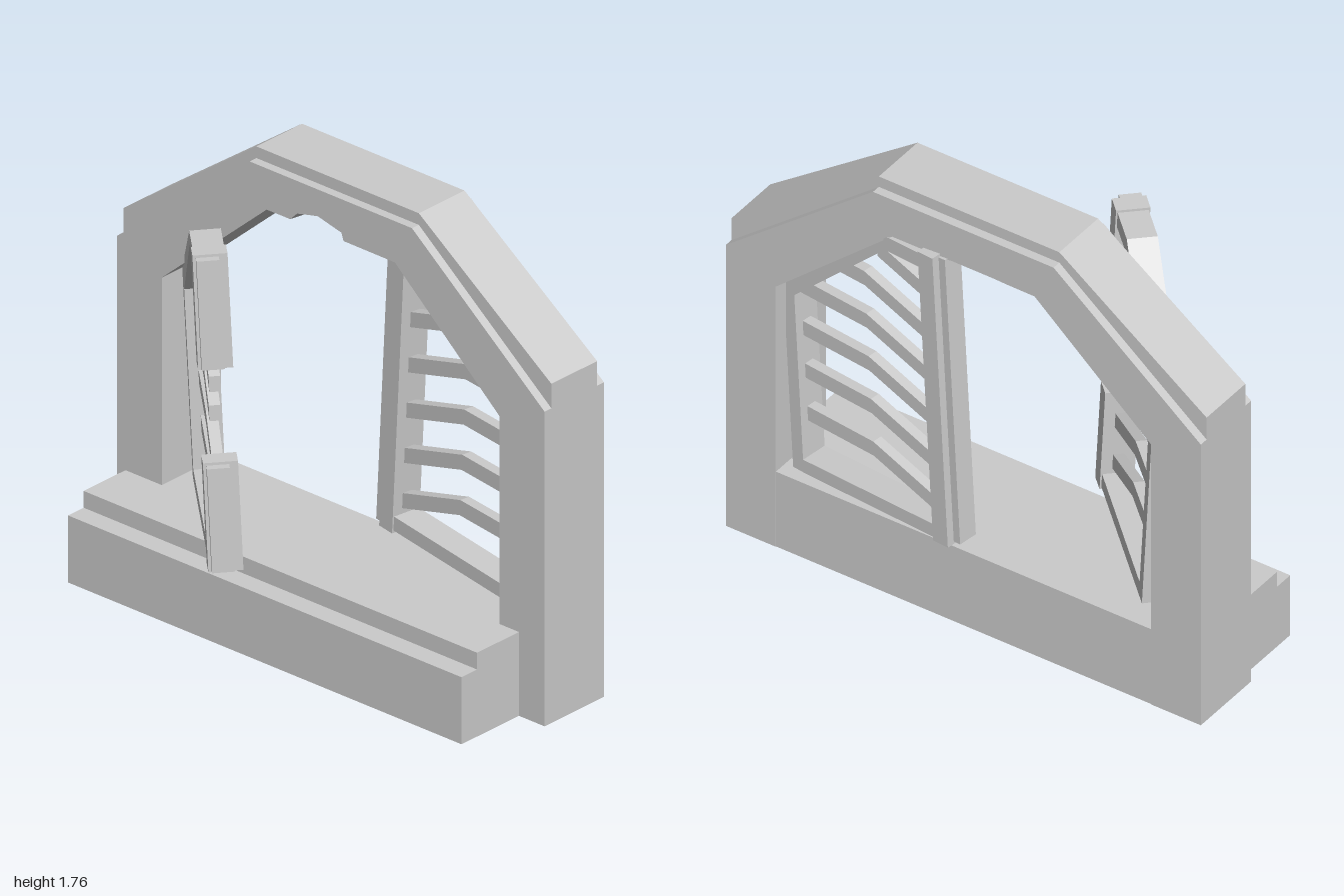
import * as THREE from 'three';

const material = new THREE.MeshStandardMaterial({ color: 0xcccccc, flatShading: true });
const shellMaterial = new THREE.MeshStandardMaterial({ color: 0xcccccc, flatShading: true, side: THREE.DoubleSide });

function mesh(name, geometry, mat = material) {
  const m = new THREE.Mesh(geometry, mat);
  m.name = name;
  return m;
}

// Flat outline [x, y] pushed from z0 to z1
function slab(points, z0, z1) {
  const shape = new THREE.Shape(points.map(p => new THREE.Vector2(p[0], p[1])));
  const g = new THREE.ExtrudeGeometry(shape, { depth: z1 - z0, bevelEnabled: false });
  return g.translate(0, 0, z0);
}

// Arched stone surround, open at the bottom, with a chip in its front top edge
function makeArch() {
  const g = slab([
    [-1, 0], [-1, 1.22], [-0.38, 1.72], [0.38, 1.72], [1, 1.22], [1, 0],
    [0.79, 0], [0.79, 1.13], [0.3, 1.56],
    [0.06, 1.561], [0.05, 1.563], [-0.12, 1.563], [-0.19, 1.561],
    [-0.3, 1.56], [-0.79, 1.13], [-0.79, 0]
  ], -0.34, -0.035);
  const p = g.attributes.position;
  for (let i = 0; i < p.count; i++) {
    if (p.getZ(i) < -0.1 || Math.abs(p.getY(i) - 1.563) > 0.0005) continue;
    p.setY(i, p.getX(i) < 0 ? 1.63 : 1.59);
  }
  g.computeVertexNormals();
  return mesh('archSurround', g);
}

// Stepped sill, hollow and open underneath
function makeSill() {
  const g = slab([
    [-0.26, 0], [-0.26, 0.26], [-0.18, 0.26], [-0.18, 0.325], [0.338, 0.325], [0.338, 0]
  ], 0, 1.84);
  g.rotateY(Math.PI / 2).translate(-0.96, 0, 0);
  const p = g.attributes.position;
  const kept = [];
  for (let i = 0; i < p.count; i += 3) {
    if (p.getY(i) + p.getY(i + 1) + p.getY(i + 2) < 0.001) continue;
    for (let k = i; k < i + 3; k++) kept.push(p.getX(k), p.getY(k), -Math.abs(0) + p.getZ(k));
  }
  const open = new THREE.BufferGeometry();
  open.setAttribute('position', new THREE.Float32BufferAttribute(kept, 3));
  open.computeVertexNormals();
  return mesh('sill', open, shellMaterial);
}

// Shutter measured from its upper hinge corner; s = 1 runs towards +x, s = -1 towards -x.
// stiles: [bottom, top] of each remaining stile piece; slatEnds: where each slat stops
function makeShutter(name, s, stiles, slatEnds) {
  const group = new THREE.Group();
  group.name = name;
  const flip = pts => pts.map(([u, v]) => [s * u, v]);
  const depth = 0.11;

  group.add(mesh('shutterRails', slab(flip([
    [0.69, -0.81], [0, -0.81], [0, 0], [0.515, 0.39], [0.69, 0.39],
    [0.69, 0.33], [0.5, 0.33], [0.05, -0.06], [0.05, -0.755], [0.69, -0.755]
  ]), -depth, 0)));

  // Meeting stile with a narrower lip along its outer edge
  for (const [b, t] of stiles) {
    const box = (u0, u1, z0, z1, v0, v1) => slab(flip([[u0, v0], [u1, v0], [u1, v1], [u0, v1]]), z0, z1);
    group.add(mesh('meetingStile', box(0.665, 0.735, -depth - 0.006, 0.006, b, t)));
    group.add(mesh('stileLip', box(0.735, 0.765, -0.085, -0.005, b + 0.01, t - 0.01)));
  }

  // Slats: level from the hinge side, then bending down
  const bend = 0.36, h = 0.03;
  slatEnds.forEach((end, i) => {
    const v = -0.59 + 0.18 * i;
    const start = Math.max(0.03, v * 1.32 + 0.02);
    const height = u => (u > bend ? v - (u - bend) * 0.37 : v + (bend - u) * 0.04);
    const us = start < bend ? [start, bend, end] : [start, end];
    const top = us.map(u => [u, height(u) + h]);
    const bottom = us.map(u => [u, height(u) - h]).reverse();
    group.add(mesh('slat', slab(flip([...top, ...bottom]), -0.075, -0.035)));
  });
  return group;
}

export function createModel() {
  const model = new THREE.Group();
  model.name = 'shutteredWindow';
  model.add(makeArch(), makeSill());

  // Raised band over the arch
  model.add(mesh('archCap', slab([
    [-1, 1.2], [-1, 1.315], [-0.38, 1.765], [0.38, 1.765], [1, 1.315], [1, 1.2],
    [0.38, 1.68], [-0.38, 1.68]
  ], -0.305, -0.07)));

  // Broken shutter swung out to the front
  const broken = makeShutter('brokenShutter', 1,
    [[-0.82, -0.4], [-0.04, 0.4]], [0.68, 0.68, 0.55, 0.63, 0.68, 0.68]);
  broken.position.set(-0.79, 1.13, -0.14);
  broken.rotation.set(0.06, -0.75, 0.06);

  // Whole shutter sagging slightly to the back
  const whole = makeShutter('wholeShutter', -1, [[-0.82, 0.4]], Array(6).fill(0.68));
  whole.position.set(0.79, 1.13, -0.165);
  whole.rotation.set(0, -0.14, -0.06);

  model.add(broken, whole);
  return model;
}
